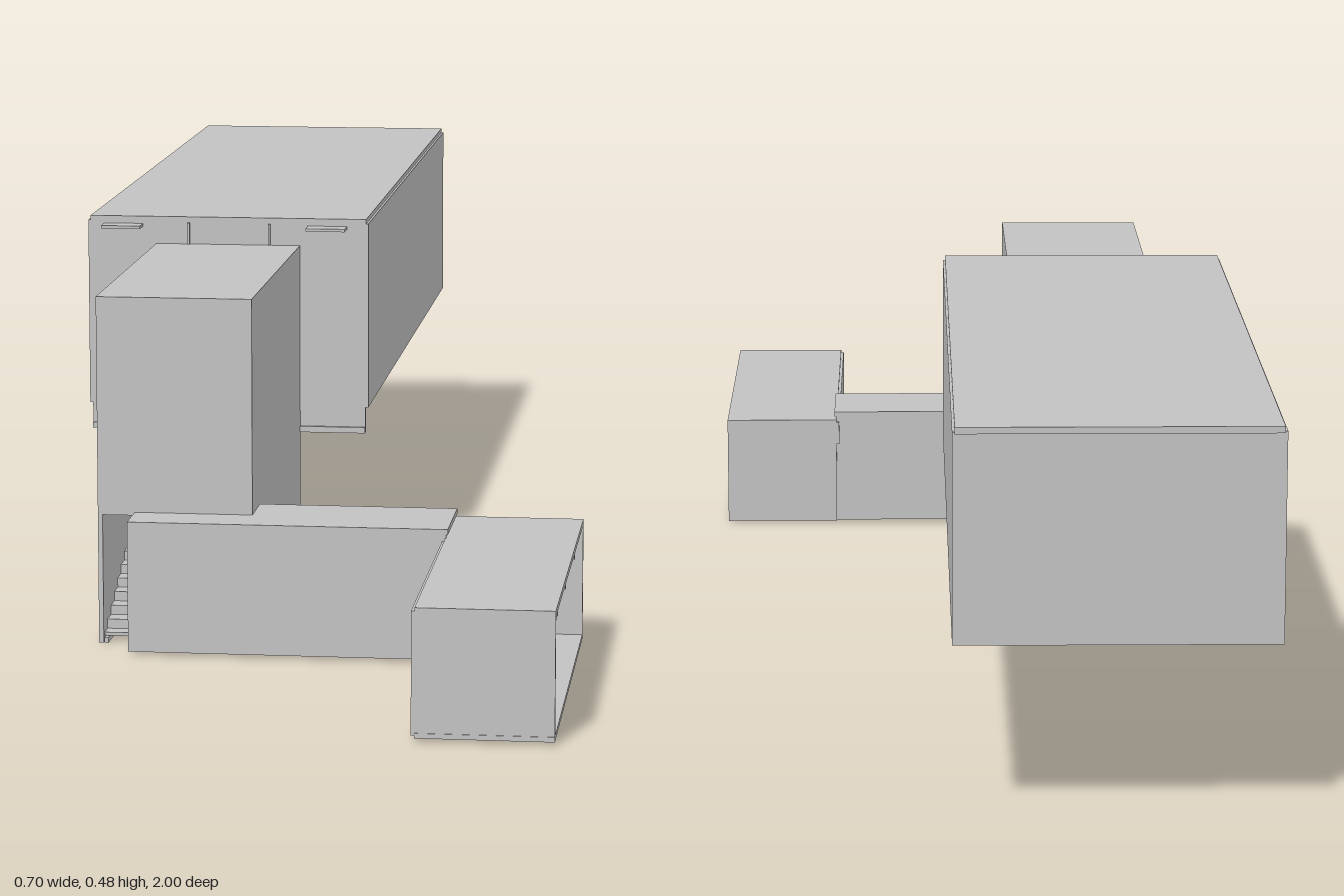
import * as THREE from 'three';

export function createModel() {
  const model = new THREE.Group();
  const grey = new THREE.MeshStandardMaterial({ color: 0xc2c2c2 });
  grey.name = 'plain grey';
  const T = 0.006; // panel thickness

  function section(name) {
    const g = new THREE.Group();
    g.name = name;
    model.add(g);
    return g;
  }
  // Box given by its limits on each axis
  function box(parent, name, [x0, x1], [y0, y1], [z0, z1]) {
    const m = new THREE.Mesh(new THREE.BoxGeometry(x1 - x0, y1 - y0, z1 - z0), grey);
    m.name = name;
    m.position.set((x0 + x1) / 2, (y0 + y1) / 2, (z0 + z1) / 2);
    parent.add(m);
    return m;
  }

  // Upper hall
  const hall = section('upperHall');
  const HL = -0.35, HR = 0.032, HZ = 0.083;
  box(hall, 'roof', [HL + 0.003, HR - 0.003], [0.474, 0.482], [-1, HZ]);
  box(hall, 'sideWall', [HL, HL + T], [0.225, 0.476], [-0.998, HZ]);
  box(hall, 'sideWall', [HR - T, HR], [0.225, 0.476], [-0.998, HZ]);
  box(hall, 'backWall', [HL, HR], [0.225, 0.476], [-0.998, -0.992]);
  box(hall, 'rearFloor', [HL, HR], [0.225, 0.231], [-0.998, -0.5]);
  box(hall, 'walkway', [-0.25, -0.066], [0.225, 0.231], [-0.5, HZ]);
  // Front wall around the stairwell opening
  box(hall, 'frontWall', [HL + 0.004, -0.252], [0.19, 0.476], [HZ - T, HZ]);
  box(hall, 'frontWall', [-0.064, HR - 0.004], [0.19, 0.476], [HZ - T, HZ]);
  box(hall, 'frontHeader', [-0.252, -0.064], [0.44, 0.476], [HZ - T, HZ]);
  for (const x of [-0.214, -0.104]) {
    box(hall, 'headerJoint', [x, x + 0.003], [0.444, 0.474], [HZ, HZ + 0.004]);
  }
  for (const x of [-0.328, -0.05]) {
    box(hall, 'frontLedge', [x, x + 0.053], [0.468, 0.472], [HZ, 0.11]);
  }
  box(hall, 'frontSill', [HL + 0.004, -0.252], [0.19, 0.198], [HZ, HZ + 0.004]);
  box(hall, 'frontSill', [-0.064, HR - 0.004], [0.19, 0.198], [HZ, HZ + 0.004]);
  // Posts and rails along the inner side walls
  for (const x of [HL + T, HR - T - 0.005]) {
    for (let i = 0; i < 6; i++) {
      const z = -0.49 + i * 0.11;
      box(hall, 'wallPost', [x, x + 0.005], [0.226, 0.474], [z, z + 0.006]);
    }
    for (const y of [0.27, 0.31]) {
      box(hall, 'wallRail', [x, x + 0.005], [y, y + 0.005], [-0.49, HZ - T]);
    }
  }
  // Round grate under the rear floor
  for (const r of [0.035, 0.085]) {
    const ring = new THREE.Mesh(new THREE.TorusGeometry(r, 0.004, 6, 32), grey);
    ring.name = 'floorGrateRing';
    ring.rotation.x = Math.PI / 2;
    ring.position.set(-0.158, 0.225, -0.77);
    hall.add(ring);
  }
  for (let i = -2; i <= 2; i++) {
    const h = Math.sqrt(0.085 ** 2 - (i * 0.03) ** 2);
    const x = -0.158 + i * 0.03;
    box(hall, 'floorGrateBar', [x - 0.002, x + 0.002], [0.222, 0.226], [-0.77 - h, -0.77 + h]);
  }

  // Stairwell
  const well = section('stairwell');
  const SL = -0.257, SR = -0.061;
  box(well, 'roof', [SL, SR], [0.438, 0.445], [HZ, 0.558]);
  box(well, 'outerWall', [SL, SL + T], [0.003, 0.442], [HZ - 0.003, 0.558]);
  box(well, 'innerWall', [SR - T, SR], [0.003, 0.442], [HZ - 0.003, 0.482]);
  box(well, 'innerWallTop', [SR - T, SR], [0.168, 0.442], [0.482, 0.558]);
  box(well, 'frontWall', [SL, SR], [0.168, 0.442], [0.552, 0.558]);
  box(well, 'wallFoot', [-0.25, -0.245], [0.003, 0.01], [HZ, 0.558]);
  const steps = 18, run = 0.468 / steps, rise = 0.216 / steps;
  for (let i = 0; i < steps; i++) {
    const y = 0.231 - (i + 1) * rise, z = HZ + i * run;
    box(well, 'stairTread', [SL + T, SR - T], [y - 0.004, y], [z, z + run]);
    box(well, 'stairRiser', [SL + T, SR - T], [y - 0.004, y + rise], [z, z + 0.004]);
  }

  // Cross corridor
  const cross = section('crossCorridor');
  box(cross, 'floor', [-0.21, 0.19], [0.007, 0.013], [0.488, 0.618]);
  box(cross, 'frontWall', [-0.21, 0.188], [0.01, 0.17], [0.612, 0.618]);
  box(cross, 'backWall', [SR, 0.188], [0.01, 0.17], [0.488, 0.494]);
  box(cross, 'roof', [SR, 0.19], [0.165, 0.172], [0.488, 0.618]);
  box(cross, 'roofEnd', [-0.21, SR], [0.165, 0.172], [0.552, 0.618]);

  // Entry corridor, open along its left side
  const entry = section('entryCorridor');
  const EL = 0.183, ER = 0.349;
  box(entry, 'roof', [EL + 0.004, ER], [0.154, 0.161], [0.482, 1]);
  box(entry, 'floor', [EL + 0.004, ER], [0.007, 0.013], [0.482, 1]);
  box(entry, 'frontWall', [EL + 0.004, ER], [0.01, 0.157], [0.993, 0.999]);
  box(entry, 'backWall', [EL + 0.004, ER], [0.01, 0.157], [0.482, 0.488]);
  box(entry, 'sideWall', [EL, EL + T], [0.01, 0.157], [0.615, 0.999]);
  box(entry, 'doorLintel', [EL, EL + T], [0.124, 0.157], [0.484, 0.615]);
  // Ceiling beams, wall lamps and a low slot
  for (const z of [0.66, 0.825, 0.965]) {
    box(entry, 'ceilingBeam', [EL + T, ER], [0.148, 0.155], [z - 0.004, z + 0.004]);
    box(entry, 'wallLamp', [EL + T, EL + T + 0.008], [0.11, 0.126], [z - 0.01, z + 0.01]);
  }
  box(entry, 'wallSlot', [EL + T, EL + T + 0.006], [0.055, 0.061], [0.895, 0.94]);

  return model;
}
